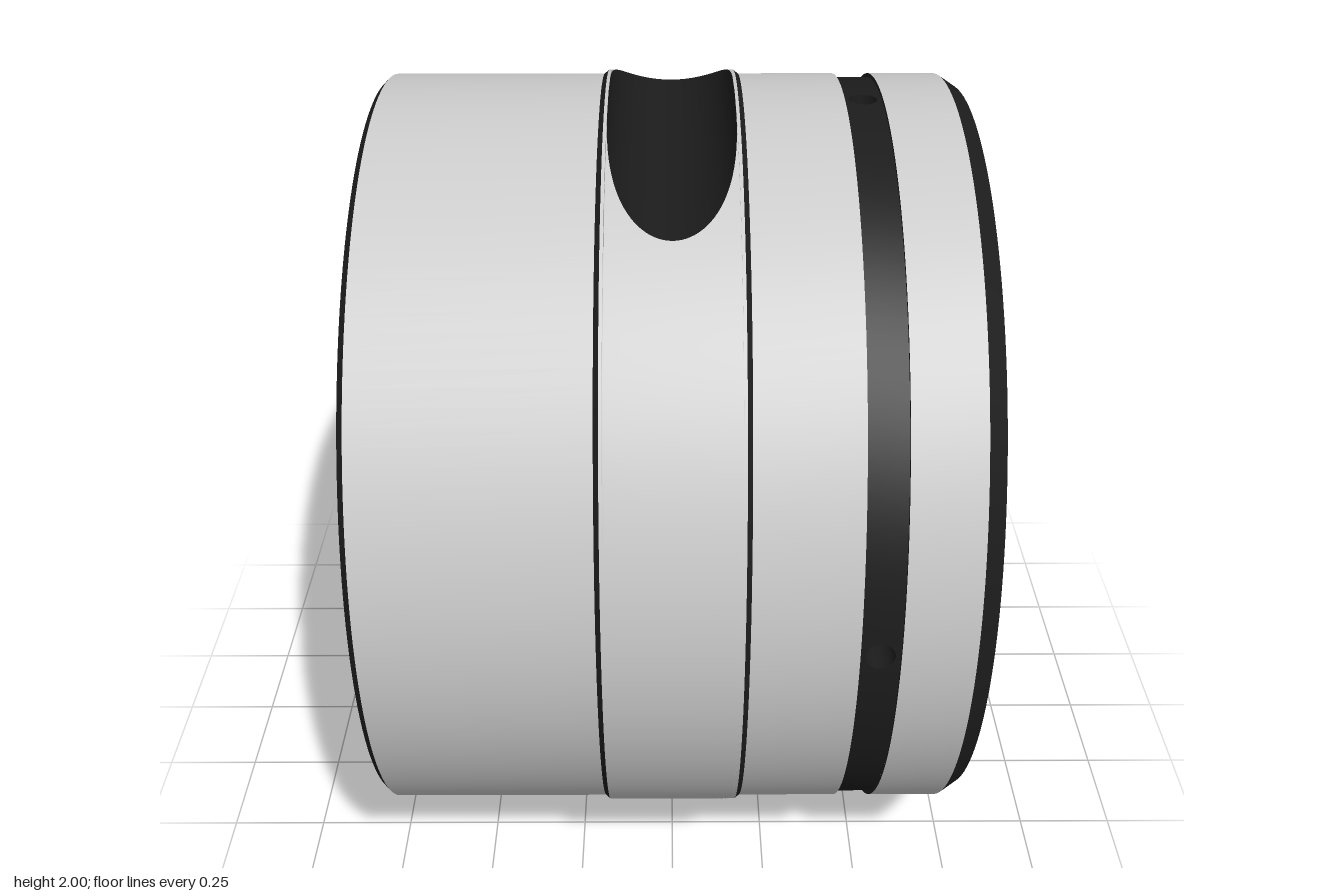
import * as THREE from 'three';
import { toCreasedNormals } from 'three/addons/utils/BufferGeometryUtils.js';

const grey = new THREE.MeshStandardMaterial({ color: 0xcccccc, side: THREE.DoubleSide });
const dark = new THREE.MeshStandardMaterial({ color: 0x1c1c1c, side: THREE.DoubleSide });

const R = 1;            // crown band radius
const R_BODY = 0.99;    // outer sleeve radius
const R_GROOVE = 0.98;  // oil groove floor
const R_RECESS = 0.73;  // bore recess around the oil holes
const BAND = 0.165;     // half width of the crown band
const CUT = 0.157;      // radius of the scallop cut
const HOLE_X = 0.4775, HOLE_R = 0.035, STRIP = 0.0475;

// Point on a cylinder around the x axis; angle 0 points up, PI/2 to the front
const onRing = (x, r, a) => [x, r * Math.cos(a), r * Math.sin(a)];

// Surface over u, v in 0..1
function grid(f, nu, nv) {
  const pos = [], idx = [];
  for (let i = 0; i <= nu; i++)
    for (let j = 0; j <= nv; j++) pos.push(...f(i / nu, j / nv));
  for (let i = 0; i < nu; i++)
    for (let j = 0; j < nv; j++) {
      const a = i * (nv + 1) + j, b = a + nv + 1;
      idx.push(a, b, b + 1, a, b + 1, a + 1);
    }
  const g = new THREE.BufferGeometry();
  g.setAttribute('position', new THREE.Float32BufferAttribute(pos, 3));
  g.setIndex(idx);
  g.computeVertexNormals();
  return g;
}

// Turned surface around the x axis from [x, radius] pairs
function turned(profile) {
  const g = new THREE.LatheGeometry(profile.map(([x, r]) => new THREE.Vector2(r, x)), 144);
  g.rotateZ(-Math.PI / 2);
  return toCreasedNormals(g, 0.35);
}

// Ring strip pierced by four round holes
function piercedStrip(add, name, r) {
  const half = STRIP / r;
  for (let q = 0; q < 4; q++) {
    const mid = q * Math.PI / 2;
    add(name, grid((u, v) => {
      const t = u * Math.PI * 2, c = Math.cos(t), s = Math.sin(t);
      const k = STRIP / Math.max(Math.abs(c), Math.abs(s));
      const d = HOLE_R + (k - HOLE_R) * v;
      return onRing(HOLE_X + d * c, r, mid + d * s / r);
    }, 40, 2), dark);
    add(name, grid((u, v) => onRing(HOLE_X - STRIP + 2 * STRIP * v, r,
      mid + half + u * (Math.PI / 2 - 2 * half)), 36, 1), dark);
  }
}

export function createModel() {
  const model = new THREE.Group();
  model.name = 'bushing';
  model.position.y = 1;
  const add = (name, geometry, material) => {
    const m = new THREE.Mesh(geometry, material);
    m.name = name;
    model.add(m);
  };

  // Bright outer lands
  for (const [name, a, b] of [['longLand', -0.73, -0.177], ['middleLand', 0.177, 0.43], ['endLand', 0.525, 0.7]])
    add(name, turned([[a, R_BODY], [b, R_BODY]]), grey);

  // Small chamfered steps beside the crown band
  for (const s of [-1, 1])
    add('bandStep', turned([[s * 0.177, R_BODY], [s * BAND, R]]), dark);

  // Crown band: front and back halves, bounded by the scallop outlines
  for (const s of [-1, 1]) {
    add('crownBand', grid((u, v) => {
      const p = (u - 0.5) * Math.PI;
      const a0 = Math.acos(R - CUT * Math.cos(p));
      return onRing(CUT * Math.sin(p), R, s * (a0 + v * (Math.PI - 2 * a0)));
    }, 48, 72), grey);
    add('crownBandEdge', turned([[s * CUT, R], [s * BAND, R]]), grey);
  }

  // Scallops cut across the top and bottom
  for (const s of [-1, 1])
    add('scallop', grid((u, v) => {
      const p = (u - 0.5) * Math.PI;
      const y = R - CUT * Math.cos(p);
      return [CUT * Math.sin(p), s * y, (2 * v - 1) * Math.sqrt(Math.max(0, R * R - y * y))];
    }, 48, 16), dark);

  // Oil groove walls and its pierced floor
  for (const x of [HOLE_X - STRIP, HOLE_X + STRIP])
    add('grooveWall', turned([[x, R_GROOVE], [x, R_BODY]]), dark);
  piercedStrip(add, 'grooveFloor', R_GROOVE);
  piercedStrip(add, 'recessStrip', R_RECESS);

  // Walls of the four oil holes
  for (let q = 0; q < 4; q++)
    add('oilHole', grid((u, v) => {
      const t = u * Math.PI * 2, r = R_RECESS + (R_GROOVE - R_RECESS) * v;
      return onRing(HOLE_X + HOLE_R * Math.cos(t), r, q * Math.PI / 2 + HOLE_R * Math.sin(t) / r);
    }, 40, 1), dark);

  // Plain end face, rounded mouth and bore with three thin grooves
  const bore = [[-0.73, R_BODY], [-0.745, 0.975], [-0.745, 0.73], [-0.735, 0.71], [-0.715, 0.692], [-0.68, 0.68]];
  for (const x of [-0.46, -0.28, -0.07])
    bore.push([x - 0.012, 0.68], [x - 0.012, 0.69], [x + 0.012, 0.69], [x + 0.012, 0.68]);
  bore.push([0.19, 0.68], [0.2, R_RECESS], [HOLE_X - STRIP, R_RECESS]);
  add('bore', turned(bore), dark);

  // Chamfered end face with an inner lip
  add('endLip', turned([[HOLE_X + STRIP, R_RECESS], [0.64, R_RECESS], [0.665, 0.68], [0.72, 0.68],
    [0.745, 0.7], [0.745, 0.96], [0.7, R_BODY]]), dark);

  const root = new THREE.Group();
  root.name = 'grooveBushing';
  root.add(model);
  return root;
}
